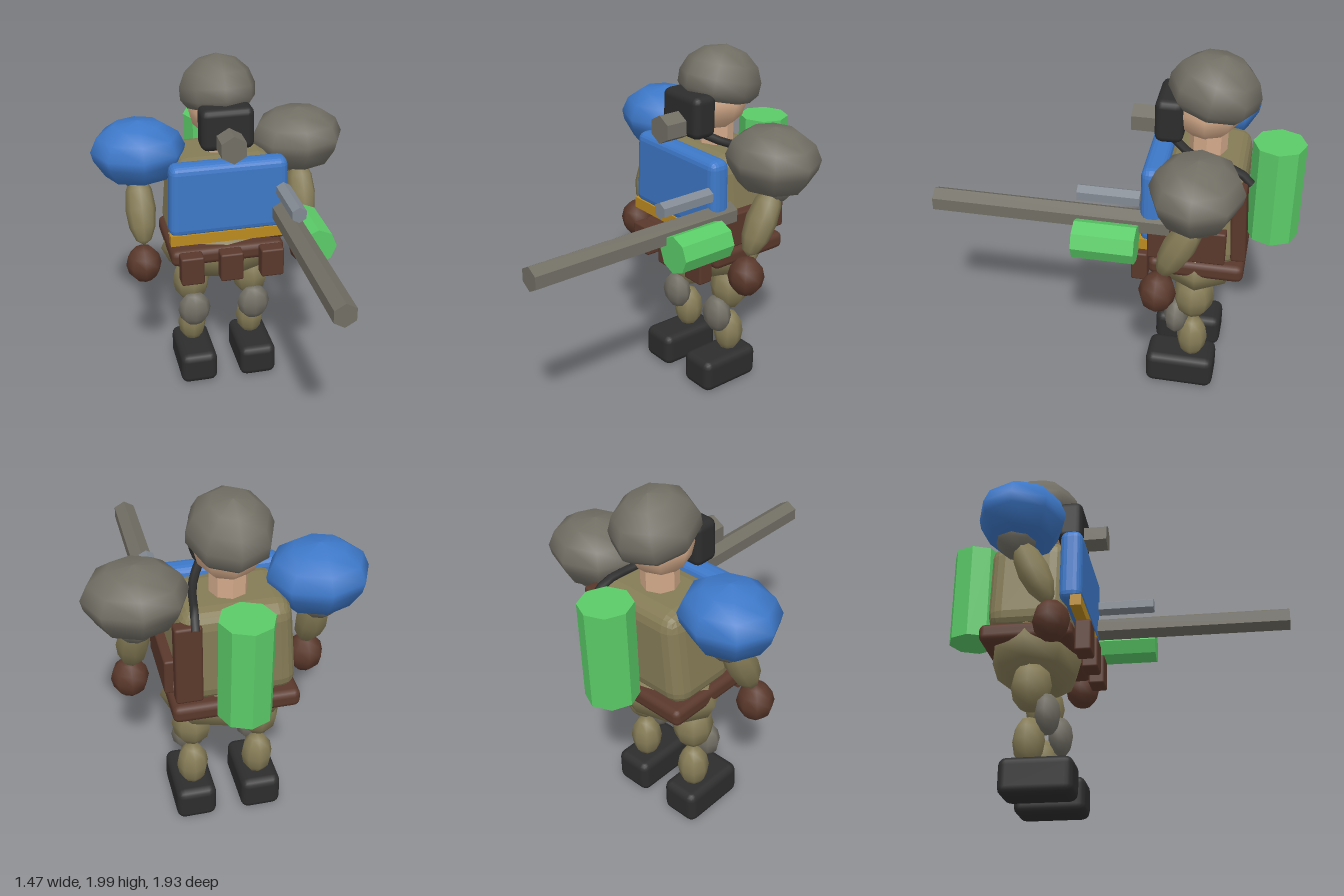
import * as THREE from 'three';
import { RoundedBoxGeometry } from 'three/addons/geometries/RoundedBoxGeometry.js';

const paint = (name, color) => {
  const m = new THREE.MeshStandardMaterial({ color });
  m.name = name;
  return m;
};

export function createModel() {
  const armour = paint('armour grey', 0x716e64);
  const cloth = paint('khaki cloth', 0x857b56);
  const leather = paint('brown leather', 0x5a382b);
  const rubber = paint('black rubber', 0x2d2d2d);
  const skin = paint('skin', 0xd3aa8a);
  const blue = paint('team blue', 0x3d78c8);
  const gold = paint('gold trim', 0xbc8b20);
  const green = paint('tank green', 0x5bcb68);
  const steel = paint('scope steel', 0x838a93);

  const model = new THREE.Group();
  model.name = 'armouredSoldier';

  function add(name, geometry, material, pos, rotX = 0) {
    const mesh = new THREE.Mesh(geometry, material);
    mesh.name = name;
    mesh.position.set(...pos);
    mesh.rotation.x = rotX;
    model.add(mesh);
    return mesh;
  }

  // Low-sided ellipsoid
  const blob = (name, mat, pos, r, rotX = 0) =>
    add(name, new THREE.SphereGeometry(1, 8, 6).scale(...r), mat, pos, rotX);

  // Soft-edged box
  const box = (name, mat, pos, size, radius, rotX = 0) =>
    add(name, new RoundedBoxGeometry(...size, 2, radius), mat, pos, rotX);

  // Faceted prism, upright or lying along z
  function prism(name, mat, pos, r, length, sides, alongZ = true) {
    const g = new THREE.CylinderGeometry(r, r, length, sides).toNonIndexed();
    g.computeVertexNormals();
    return add(name, g, mat, pos, alongZ ? Math.PI / 2 : 0);
  }

  // Eight-sided dome with a flattened underside
  function dome(name, mat, pos, r, profile, rotX = 0) {
    const pts = profile.map(([x, y]) => new THREE.Vector2(x, y));
    return add(name, new THREE.LatheGeometry(pts, 8).scale(...r), mat, pos, rotX);
  }

  // Pull the upper corners of a box inward
  function taper(mesh, height, top, bottom) {
    const p = mesh.geometry.attributes.position;
    for (let i = 0; i < p.count; i++) {
      p.setX(i, p.getX(i) * THREE.MathUtils.lerp(bottom, top, p.getY(i) / height + 0.5));
    }
    mesh.geometry.computeVertexNormals();
  }

  // Head, helmet and breathing mask
  prism('neck', skin, [0, 1.52, -0.46], 0.1, 0.24, 8, false);
  blob('head', skin, [0, 1.7, -0.45], [0.175, 0.17, 0.18]);
  dome('helmet', armour, [0, 1.78, -0.475], [0.222, 0.22, 0.245], [
    [0, -0.36], [0.8, -0.34], [0.97, -0.12], [0.98, 0.2], [0.83, 0.57], [0.5, 0.87], [0, 1],
  ], -0.22);
  box('mask', rubber, [0, 1.66, -0.265], [0.3, 0.24, 0.15], 0.04);
  prism('maskFilter', armour, [0, 1.6, -0.14], 0.08, 0.16, 6);
  const hosePath = new THREE.CatmullRomCurve3([
    new THREE.Vector3(0.08, 1.57, -0.26), new THREE.Vector3(0.17, 1.49, -0.42),
    new THREE.Vector3(0.21, 1.46, -0.64), new THREE.Vector3(0.22, 1.4, -0.71),
  ]);
  add('maskHose', new THREE.TubeGeometry(hosePath, 8, 0.024, 6), rubber, [0, 0, 0]);

  // Torso and chest plate
  taper(box('torso', cloth, [0, 1.19, -0.465], [0.66, 0.54, 0.43], 0.09), 0.54, 0.86, 1);
  taper(box('chestPlate', blue, [0, 1.265, -0.217], [0.69, 0.43, 0.125], 0.045), 0.43, 0.97, 1.01);
  add('chestTrim', new THREE.BoxGeometry(0.69, 0.063, 0.06), gold, [0, 1.037, -0.183]);

  // Hips, belt and pouches
  blob('hips', cloth, [0, 0.84, -0.455], [0.36, 0.2, 0.255]);
  box('belt', leather, [0, 0.885, -0.455], [0.67, 0.1, 0.51], 0.035);
  for (const x of [-0.23, 0, 0.24]) {
    box('beltPouch', leather, [x, 0.853, -0.15], [0.135, 0.175, 0.09], 0.012);
  }

  // Back gear
  prism('backTank', green, [0, 1.25, -0.83], 0.14, 0.56, 8, false);
  box('backStrap', leather, [0.25, 1.19, -0.665], [0.14, 0.44, 0.08], 0.015, 0.05);
  box('sideHolster', leather, [0.305, 1.065, -0.405], [0.11, 0.2, 0.41], 0.012);

  // Limbs, mirrored
  for (const [side, s] of [['left', 1], ['right', -1]]) {
    dome(side + 'ShoulderPad', s > 0 ? armour : blue, [s * 0.465, 1.49, -0.46],
      [0.27, 0.172, 0.24], [
        [0, -1], [0.72, -0.87], [0.95, -0.3], [1, 0.02], [0.86, 0.5], [0.52, 0.86], [0, 1],
      ]);
    blob(side + 'UpperArm', armour, [s * 0.475, 1.38, -0.485], [0.13, 0.14, 0.12]);
    blob(side + 'Forearm', cloth, [s * 0.478, 1.15, -0.385], [0.088, 0.21, 0.085], -0.44);
    blob(side + 'Hand', leather, [s * 0.488, 0.85, -0.28], [0.103, 0.113, 0.1]);
    blob(side + 'Thigh', cloth, [s * 0.185, 0.615, -0.44], [0.113, 0.145, 0.112]);
    blob(side + 'KneePad', armour, [s * 0.185, 0.455, -0.348], [0.1, 0.113, 0.07]);
    blob(side + 'Shin', cloth, [s * 0.185, 0.31, -0.443], [0.088, 0.135, 0.087]);
    box(side + 'Boot', rubber, [s * 0.185, 0.103, -0.385], [0.225, 0.2, 0.39], 0.045);
  }

  // Gun with scope and drum
  prism('gunBarrel', armour, [0.303, 1.155, 0.325], 0.068, 1.28, 6);
  prism('gunScope', steel, [0.303, 1.295, 0.01], 0.046, 0.33, 6);
  prism('gunDrum', green, [0.417, 1.085, 0.01], 0.105, 0.33, 8);

  return model;
}
